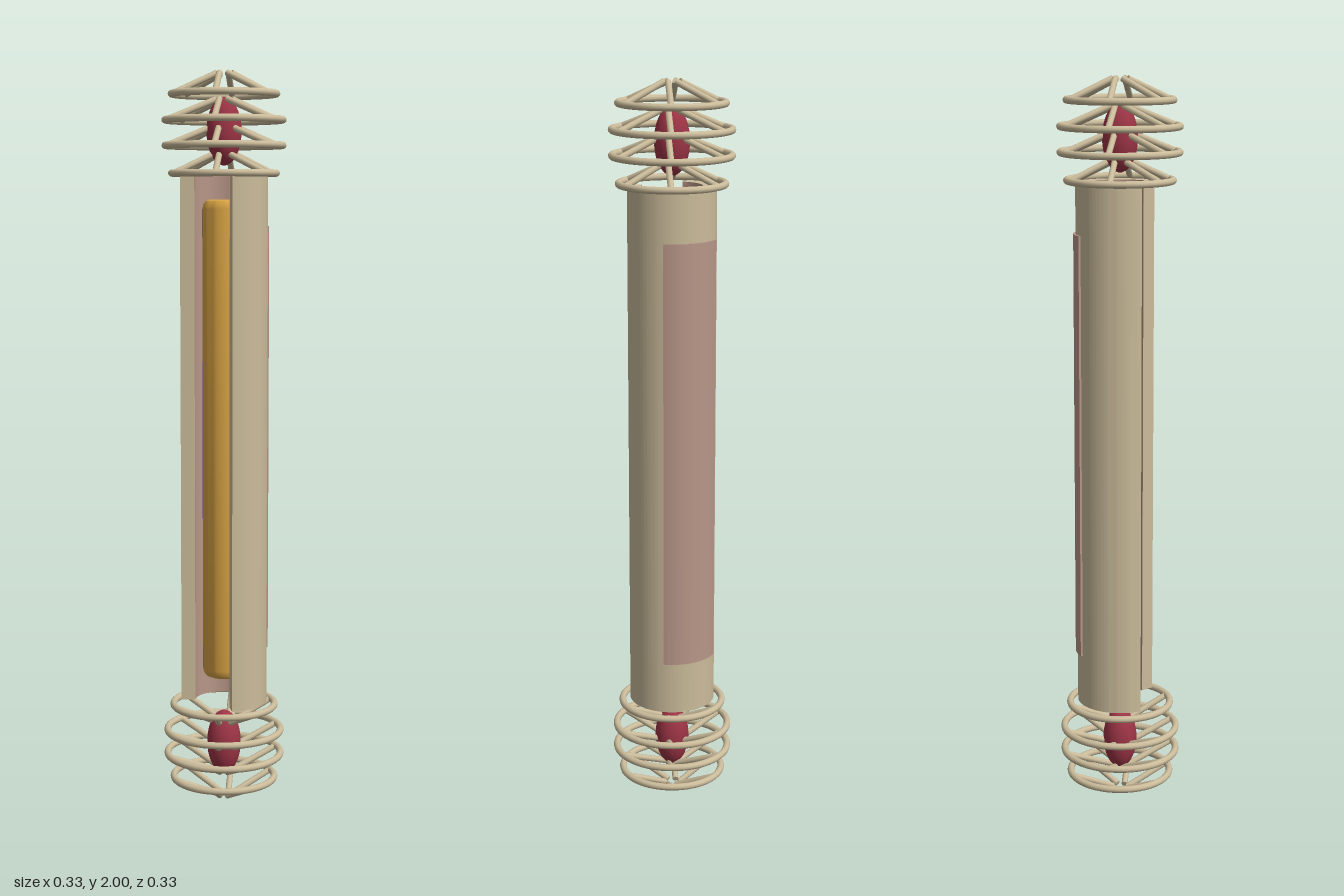
import * as THREE from 'three';
import { toCreasedNormals } from 'three/addons/utils/BufferGeometryUtils.js';

const mat = (name, color, side = THREE.FrontSide) => {
  const m = new THREE.MeshStandardMaterial({ color, side });
  m.name = name;
  return m;
};

export function createModel() {
  const model = new THREE.Group();
  model.name = 'capsule';
  const bone = mat('bone', 0xcabb9a);
  const rose = mat('dusty rose', 0xb89688, THREE.DoubleSide);
  const gold = mat('gold', 0xd8a344);
  const red = mat('crimson', 0x9c3445);
  const blue = mat('slate blue', 0x71889c, THREE.DoubleSide);

  const add = (parent, name, geometry, material) => {
    const mesh = new THREE.Mesh(geometry, material);
    mesh.name = name;
    parent.add(mesh);
    return mesh;
  };

  // Upright wall following an arc; angles in degrees, 90 is the back
  const arcWall = (inner, outer, from, to, y0, y1) => {
    const a = THREE.MathUtils.degToRad(from), b = THREE.MathUtils.degToRad(to);
    const shape = new THREE.Shape();
    shape.absarc(0, 0, outer, a, b, false);
    shape.absarc(0, 0, inner, b, a, true);
    const g = new THREE.ExtrudeGeometry(shape, { depth: y1 - y0, bevelEnabled: false, curveSegments: 48 });
    g.rotateX(-Math.PI / 2).translate(0, y0, 0);
    return toCreasedNormals(g, 0.6);
  };

  // Casing, open at the front, with its lining and back panel
  add(model, 'casing', arcWall(0.081, 0.118, -40, 220, 0.28, 1.725), bone);
  const deg = Math.PI / 180;
  const lining = new THREE.CylinderGeometry(0.0795, 0.0795, 1.445, 48, 1, true, 50 * deg, 260 * deg);
  add(model, 'lining', lining, rose).position.y = 1.0025;
  add(model, 'backPanel', arcWall(0.117, 0.124, 50, 130, 0.425, 1.59), rose);

  // Inner rod with rounded ends
  const half = [[0.0001, 0.655], [0.04, 0.655], [0.05, 0.651], [0.056, 0.642], [0.058, 0.63]];
  const profile = [
    ...half.map(([r, y]) => new THREE.Vector2(r, -y)),
    ...half.slice().reverse().map(([r, y]) => new THREE.Vector2(r, y)),
  ];
  add(model, 'rod', toCreasedNormals(new THREE.LatheGeometry(profile, 40), 0.6), gold).position.y = 1.005;
  const stripe = new THREE.CylinderGeometry(0.0585, 0.0585, 1.26, 4, 1, true, -46 * deg, 6 * deg);
  add(model, 'rodStripe', stripe, blue).position.y = 1.005;

  // Cages of rings and twisted spokes around a bead, one at each end
  const spoke = (parent, a, b) => {
    const dir = b.clone().sub(a);
    const mesh = add(parent, 'spoke', new THREE.CylinderGeometry(0.0085, 0.0085, dir.length(), 10), bone);
    mesh.position.copy(a).add(b).multiplyScalar(0.5);
    mesh.quaternion.setFromUnitVectors(new THREE.Vector3(0, 1, 0), dir.normalize());
  };
  const polar = (r, t, y) => new THREE.Vector3(r * Math.cos(t), y, r * Math.sin(t));
  const rings = [[0.14, 0.73], [0.157, 0.803], [0.157, 0.87], [0.14, 0.938]];

  for (const s of [1, -1]) {
    const cage = new THREE.Group();
    cage.name = s > 0 ? 'topCage' : 'bottomCage';
    model.add(cage);
    for (const [radius, h] of rings) {
      const ring = new THREE.TorusGeometry(radius, 0.0095, 12, 64).rotateX(Math.PI / 2);
      add(cage, 'ring', ring, bone).position.y = 1 + s * h;
      for (let i = 0; i < 6; i++) {
        const t = i * Math.PI / 3;
        spoke(cage, polar(radius, t, 1 + s * h), polar(0.02, t + 0.5, 1 + s * (h + 0.054)));
      }
    }
    const bead = add(cage, 'bead', new THREE.SphereGeometry(1, 32, 20), red);
    bead.scale.set(0.047, 0.09, 0.047);
    bead.position.y = 1 + s * 0.84;
  }
  return model;
}
